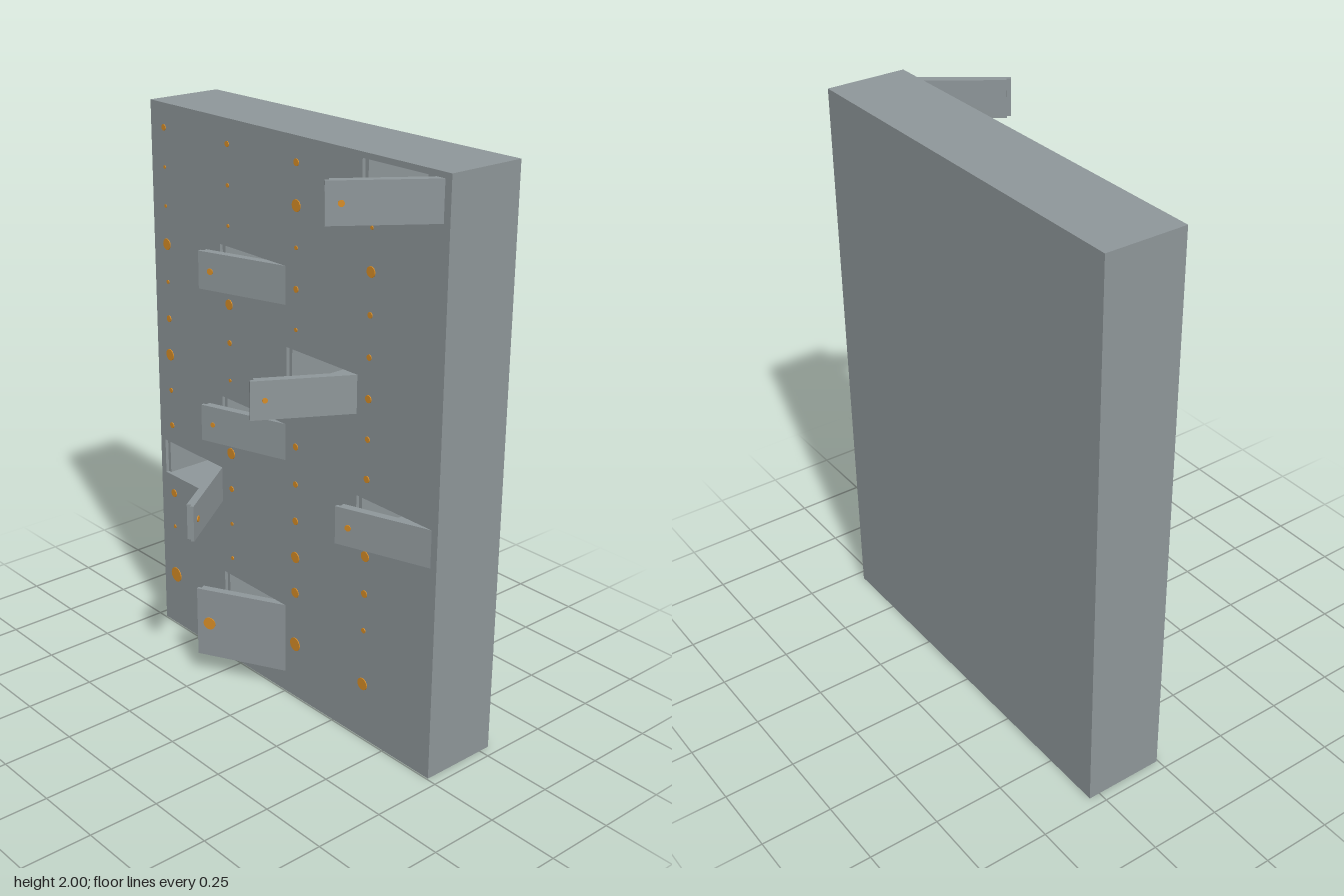
import * as THREE from 'three';

const FRONT = -0.005, BACK = -0.29, PITCH = 0.345, ROW = 0.1366, LEFT = -0.69;
const GAP = 0.003, LIP = 0.014, SKIN = 0.012, DOOR = 0.028, CAVITY_BACK = -0.268;

// open doors: column, row (0 = tall bottom row), opening angle in degrees
const OPEN = [
  [3, 12, 54], [1, 9, 18], [2, 7, 60], [1, 5, 18], [3, 4, 18.5], [0, 3, 125], [1, 0, 28],
];

// lock radius per column, from the bottom row upwards, in thousandths
const LOCKS = [
  [29, 7, 15, 11, 11, 9, 21, 12, 7, 20, 6, 6, 11],
  [23, 7, 7, 11, 20, 9, 6, 10, 18, 11, 6, 7, 10],
  [25, 18, 20, 13, 11, 12, 12, 9, 7, 11, 7, 20, 12],
  [22, 9, 13, 18, 11, 12, 10, 13, 10, 10, 18, 6, 10],
];

function cell(col, row) {
  const x0 = LEFT + col * PITCH + GAP, x1 = x0 + PITCH - 2 * GAP;
  const y0 = row === 0 ? 0.075 : 0.345 + (row - 1) * ROW;
  const h = row === 0 ? 0.27 : ROW;
  return { x0, x1, y0: y0 + GAP, y1: y0 + h - GAP, yc: y0 + h / 2 };
}

function rect(Type, x0, x1, y0, y1) {
  const p = new Type();
  p.moveTo(x0, y0);
  p.lineTo(x1, y0);
  p.lineTo(x1, y1);
  p.lineTo(x0, y1);
  p.closePath();
  return p;
}

export function createModel() {
  const steel = new THREE.MeshStandardMaterial({ color: 0x8e9699 });
  steel.name = 'grey steel';
  const brass = new THREE.MeshStandardMaterial({ color: 0xd68c26 });
  brass.name = 'orange brass';

  const model = new THREE.Group();
  model.name = 'lockerWall';
  const add = (parent, geo, mat, name, x = 0, y = 0, z = 0) => {
    const m = new THREE.Mesh(geo, mat);
    m.name = name;
    m.position.set(x, y, z);
    parent.add(m);
    return m;
  };

  // a cabinet layer pierced by the open compartments
  const layer = (name, zBack, zFront, inset) => {
    const shape = rect(THREE.Shape, -0.713, 0.713, 0, 2);
    for (const [col, row] of OPEN) {
      const c = cell(col, row);
      shape.holes.push(rect(THREE.Path, c.x0 + inset, c.x1, c.y0, c.y1));
    }
    const geo = new THREE.ExtrudeGeometry(shape, { depth: zFront - zBack, bevelEnabled: false });
    add(model, geo, steel, name, 0, 0, zBack);
  };
  layer('cabinetFront', FRONT - SKIN, FRONT, 0);
  layer('cabinetWalls', CAVITY_BACK, FRONT - SKIN, LIP);
  add(model, new THREE.BoxGeometry(1.426, 2, CAVITY_BACK - BACK), steel, 'cabinetBack',
    0, 1, (CAVITY_BACK + BACK) / 2);

  // round lock, standing just proud of its door
  const addLock = (parent, radius, x, y, z) => {
    const geo = new THREE.CylinderGeometry(radius, radius, 0.006, 16);
    geo.rotateX(Math.PI / 2);
    add(parent, geo, brass, 'lock', x, y, z);
  };

  // locks on the closed doors
  LOCKS.forEach((radii, col) => radii.forEach((r, row) => {
    if (OPEN.some(o => o[0] === col && o[1] === row)) return;
    const c = cell(col, row);
    addLock(model, r / 1000, c.x0 + 0.047, c.yc, FRONT);
  }));

  // open doors: rebated at the free edge and hinged on the right of each cell
  for (const [col, row, angle] of OPEN) {
    const c = cell(col, row), w = c.x1 - c.x0, h = c.y1 - c.y0;
    const outline = new THREE.Shape();
    outline.moveTo(0, 0);
    outline.lineTo(-w, 0);
    outline.lineTo(-w, SKIN);
    outline.lineTo(-w + LIP, SKIN);
    outline.lineTo(-w + LIP, DOOR);
    outline.lineTo(0, DOOR);
    outline.closePath();
    const geo = new THREE.ExtrudeGeometry(outline, { depth: h, bevelEnabled: false });
    geo.rotateX(-Math.PI / 2);
    geo.translate(0, -h / 2, 0);

    const door = new THREE.Group();
    door.name = 'openDoor';
    door.position.set(c.x1, c.yc, FRONT);
    door.rotation.y = THREE.MathUtils.degToRad(angle);
    add(door, geo, steel, 'doorPanel');
    addLock(door, LOCKS[col][row] / 1000, -w + 0.047, 0, 0);
    model.add(door);
  }
  return model;
}
